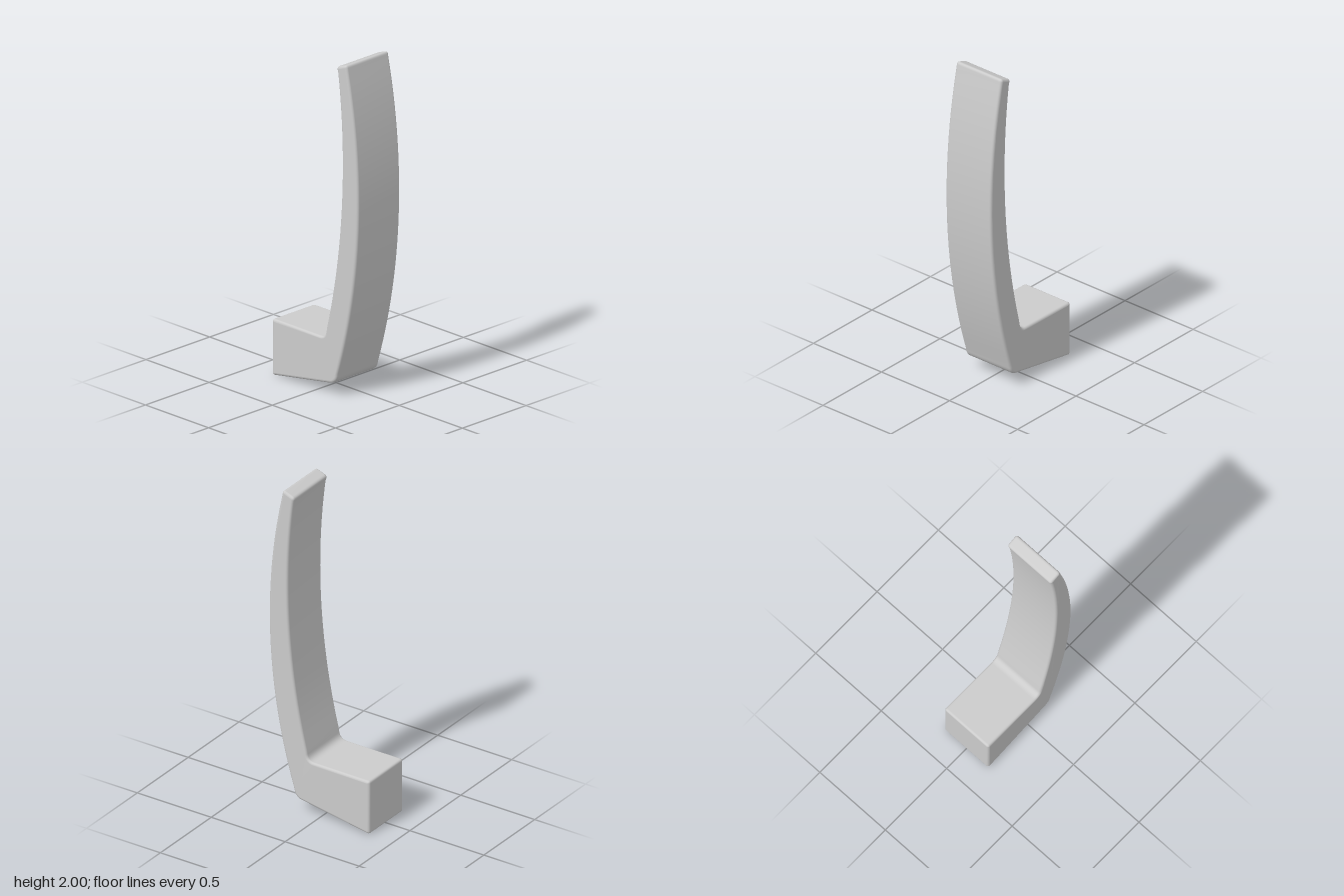
import * as THREE from 'three';
import { mergeVertices } from 'three/addons/utils/BufferGeometryUtils.js';

const WIDTH = 0.334;
const BEVEL = 0.015;

// Points along a shallow arc: z is greatest (apexZ) at height apexY.
function bow(apexZ, apexY, radius, fromY, toY, count = 28) {
  return Array.from({ length: count + 1 }, (_, i) => {
    const y = fromY + ((toY - fromY) * i) / count;
    const z = apexZ - radius + Math.sqrt(radius * radius - (y - apexY) ** 2);
    return [z, y, 0];
  });
}

// Closed outline from [z, y, trim] points; trim > 0 rounds that corner.
function roundedOutline(points) {
  const shape = new THREE.Shape();
  const vec = points.map(([z, y]) => new THREE.Vector2(z, y));
  const n = points.length;
  const toward = (a, b, d) => a.clone().add(b.clone().sub(a).setLength(d));
  points.forEach(([, , trim], i) => {
    const p = vec[i];
    const start = trim ? toward(p, vec[(i + n - 1) % n], trim) : p;
    if (i === 0) shape.moveTo(start.x, start.y);
    else shape.lineTo(start.x, start.y);
    if (trim) {
      const end = toward(p, vec[(i + 1) % n], trim);
      shape.quadraticCurveTo(p.x, p.y, end.x, end.y);
    }
  });
  shape.closePath();
  return shape;
}

export function createModel() {
  const group = new THREE.Group();
  group.name = 'bowedHook';

  // Side profile: bowed upright with a wedge-shaped foot at the back
  const profile = roundedOutline([
    [-0.34, -0.003, 0.02],
    [0.162, 0.08, 0.045],
    ...bow(0.34, 1.2, 3.5, 0.14, 1.96),
    [0.248, 2.005, 0.02],
    [0.168, 1.975, 0.02],
    ...bow(0.214, 1.4, 4.1, 1.94, 0.4),
    [0.078, 0.334, 0.04],
    [-0.34, 0.334, 0.016],
  ]);

  // Extrude across the width with softly rounded side edges
  let geometry = new THREE.ExtrudeGeometry(profile, {
    depth: WIDTH - 2 * BEVEL,
    curveSegments: 6,
    bevelEnabled: true,
    bevelThickness: BEVEL,
    bevelSize: BEVEL,
    bevelOffset: -BEVEL,
    bevelSegments: 4,
  });
  geometry.translate(0, 0, -(WIDTH - 2 * BEVEL) / 2);
  geometry.rotateY(-Math.PI / 2);

  // Weld so that large faces stay flat and the rounded edges shade smoothly
  geometry.deleteAttribute('uv');
  geometry.deleteAttribute('normal');
  geometry = mergeVertices(geometry, 1e-5);
  geometry.computeVertexNormals();

  const body = new THREE.Mesh(geometry, new THREE.MeshStandardMaterial({ color: 0xcccccc }));
  body.name = 'hookBody';
  group.add(body);
  return group;
}
